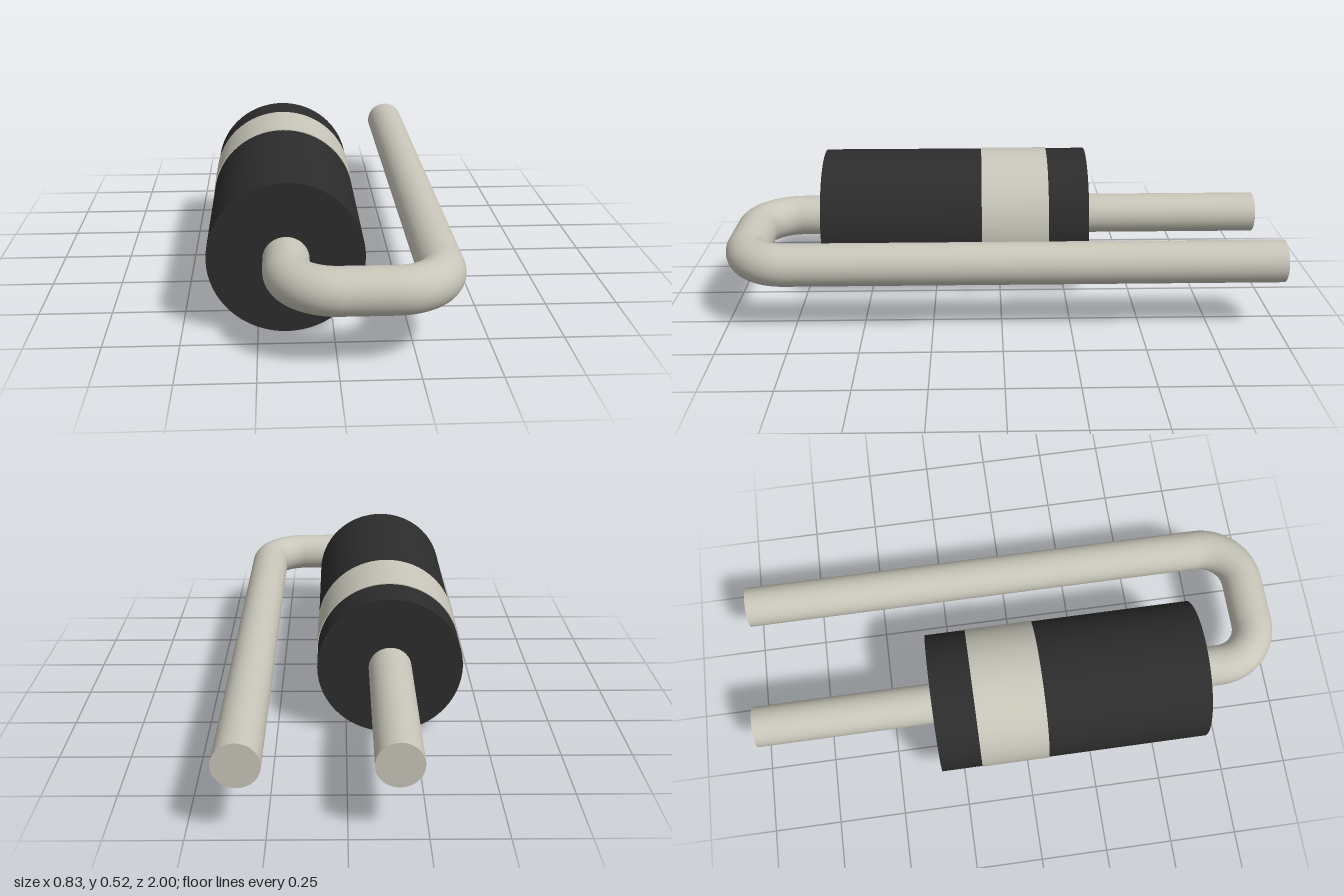
import * as THREE from 'three';

const AXIS_Y = 0.261;   // height of the wire and body axis
const BODY_X = -0.155;  // axis of the body and its straight lead
const RETURN_X = 0.333; // axis of the folded-back lead
const WIRE_R = 0.076;
const BEND_R = 0.157;
const BEND_Z = 0.767;   // where the bends begin

export function createModel() {
  const model = new THREE.Group();
  const plastic = new THREE.MeshStandardMaterial({ color: 0x2c2c2c });
  plastic.name = 'black plastic';
  const metal = new THREE.MeshStandardMaterial({ color: 0xc8c6b9 });
  metal.name = 'pale metal';

  const add = (name, geometry, material, x, z) => {
    const mesh = new THREE.Mesh(geometry, material);
    mesh.name = name;
    mesh.position.set(x, AXIS_Y, z);
    model.add(mesh);
    return mesh;
  };

  // Cylinder running along z between two depths
  const rod = (name, radius, x, z0, z1, material, sides, open = false) =>
    add(name, new THREE.CylinderGeometry(radius, radius, z1 - z0, sides, 1, open).rotateX(Math.PI / 2),
      material, x, (z0 + z1) / 2);

  // Body with its polarity band
  rod('body', 0.258, BODY_X, -0.33, 0.67, plastic, 64);
  rod('polarityBand', 0.261, BODY_X, -0.18, 0.07, metal, 64);

  // Straight leads
  rod('rearLead', WIRE_R, BODY_X, -1, -0.32, metal, 40);
  rod('frontLead', WIRE_R, BODY_X, 0.66, BEND_Z, metal, 40, true);
  rod('returnLead', WIRE_R, RETURN_X, -1, BEND_Z, metal, 40);

  // Quarter bends folding the front lead back alongside the body
  const bend = (name, x, turn) =>
    add(name, new THREE.TorusGeometry(BEND_R, WIRE_R, 40, 24, Math.PI / 2).rotateZ(turn).rotateX(Math.PI / 2),
      metal, x, BEND_Z);
  const x0 = BODY_X + BEND_R;
  const x1 = RETURN_X - BEND_R;
  bend('innerBend', x0, Math.PI / 2);
  bend('outerBend', x1, 0);

  // Cross piece joining the bends
  add('crossLead', new THREE.CylinderGeometry(WIRE_R, WIRE_R, x1 - x0, 40, 1, true).rotateZ(Math.PI / 2),
    metal, (x0 + x1) / 2, BEND_Z + BEND_R);

  return model;
}
